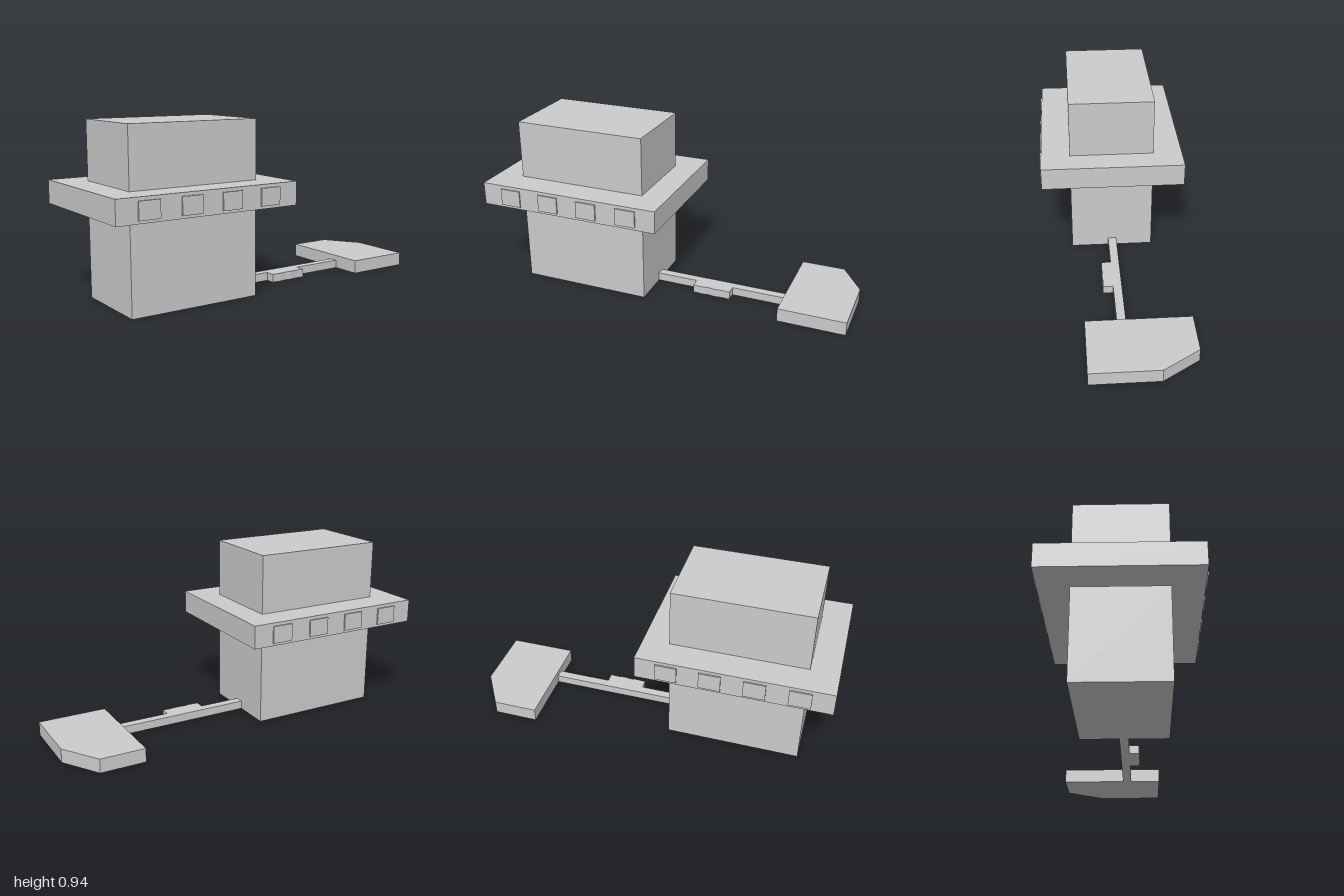
import * as THREE from 'three';

const material = new THREE.MeshStandardMaterial({ color: 0xcccccc, flatShading: true });

export function createModel() {
  const model = new THREE.Group();
  model.name = 'towerWithPad';

  const add = (name, geometry) => {
    const mesh = new THREE.Mesh(geometry, material);
    mesh.name = name;
    model.add(mesh);
    return mesh;
  };

  // Box given by its extents on each axis
  const box = (name, [x0, x1], [y0, y1], [z0, z1]) =>
    add(name, new THREE.BoxGeometry(x1 - x0, y1 - y0, z1 - z0))
      .position.set((x0 + x1) / 2, (y0 + y1) / 2, (z0 + z1) / 2);

  // Plan outline of [x, z] points raised from the ground
  const slab = (name, outline, height) => {
    const shape = new THREE.Shape(outline.map(([x, z]) => new THREE.Vector2(x, -z)));
    const geometry = new THREE.ExtrudeGeometry(shape, { depth: height, bevelEnabled: false });
    add(name, geometry.rotateX(-Math.PI / 2));
  };

  // Tower: lower block, recessed neck, overhanging deck, upper block
  box('lowerBlock', [-0.85, -0.122], [0, 0.48], [-0.234, 0.234]);
  box('neck', [-0.82, -0.15], [0.48, 0.495], [-0.21, 0.21]);
  box('deck', [-1, 0.02], [0.495, 0.62], [-0.394, 0.394]);
  box('upperBlock', [-0.85, -0.122], [0.62, 0.938], [-0.234, 0.234]);

  // Raised window panels on the front and back of the deck
  for (const side of [-1, 1]) {
    for (let i = 0; i < 4; i++) {
      const x = -0.831 + i * 0.228;
      const z = [0.385 * side, 0.402 * side].sort((a, b) => a - b);
      box('windowPanel', [x - 0.057, x + 0.057], [0.51, 0.602], z);
    }
  }

  // Walkway with a small side bay
  box('walkway', [-0.122, 0.63], [0, 0.046], [-0.026, 0.022]);
  slab('sideBay', [
    [0.112, 0.022], [0.112, 0.074], [0.165, 0.078], [0.2, 0.074],
    [0.24, 0.078], [0.285, 0.074], [0.327, 0.077], [0.327, 0.022],
  ], 0.046);

  // Pad with one cut corner
  slab('pad', [[0.63, 0.19], [1, 0.19], [1, -0.175], [0.873, -0.373], [0.63, -0.373]], 0.075);

  return model;
}
